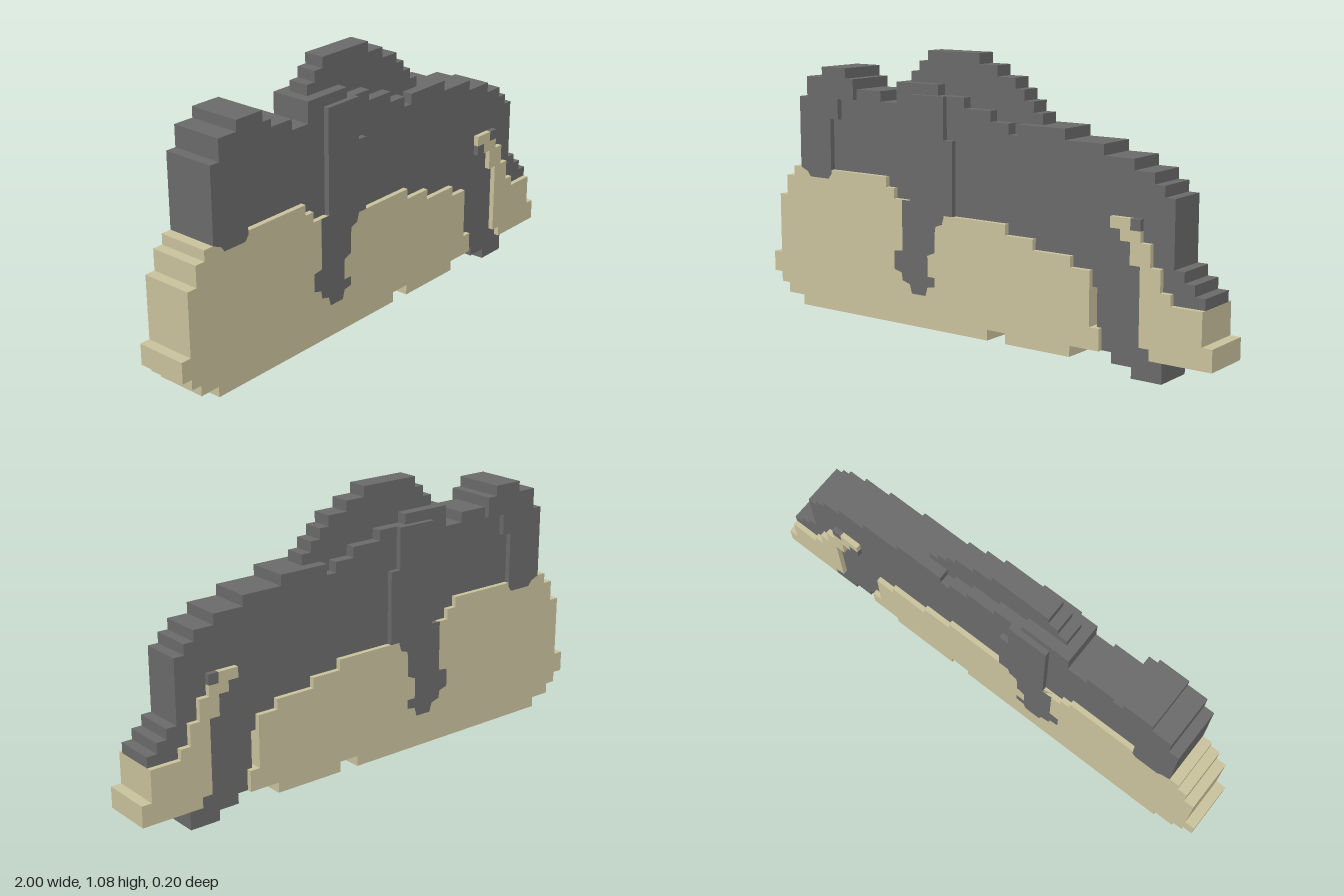
import * as THREE from 'three';

// Extrudes a flat [x, y] outline symmetrically about z = 0.
function slab(name, points, halfDepth, material) {
  const shape = new THREE.Shape(points.map(([x, y]) => new THREE.Vector2(x, y)));
  const geometry = new THREE.ExtrudeGeometry(shape, { depth: halfDepth * 2, bevelEnabled: false });
  geometry.translate(0, 0, -halfDepth);
  const mesh = new THREE.Mesh(geometry, material);
  mesh.name = name;
  return mesh;
}

// Turns a start x and a list of [height, endX] steps into a staircase.
function stairs(startX, steps) {
  const points = [];
  let x = startX;
  for (const [y, endX] of steps) {
    points.push([x, y], [endX, y]);
    x = endX;
  }
  return points;
}

export function createModel() {
  const tan = new THREE.MeshStandardMaterial({ color: 0xc9c19c });
  tan.name = 'sand';
  const grey = new THREE.MeshStandardMaterial({ color: 0x6a6a6a });
  grey.name = 'dark grey';
  const model = new THREE.Group();
  model.name = 'steppedModel';

  // Wide pale lower section
  model.add(slab('lowerSection', [
    ...stairs(-1, [[0.24, -0.96], [0.48, -0.92], [0.56, -0.88], [0.6, -0.4], [0.56, -0.36],
      [0.52, -0.14], [0.48, 0.16], [0.44, 0.28], [0.4, 0.44], [0.36, 0.52], [0.16, 0.56]]),
    ...stairs(0.56, [[0.08, 0.44], [0.04, 0.16], [0.08, 0.08], [0.04, -0.84],
      [0.08, -0.92], [0.12, -0.96], [0.16, -1]]),
  ], 0.1, tan));

  // Pale rear section with a stepped hook
  model.add(slab('rearSection', [
    ...stairs(0.6, [[0.56, 0.68], [0.52, 0.72], [0.48, 0.76], [0.4, 0.8], [0.32, 0.84],
      [0.28, 0.96], [0.16, 1]]),
    ...stairs(1, [[0.08, 0.76], [0.12, 0.72], [0.4, 0.68], [0.48, 0.64], [0.52, 0.6]]),
  ], 0.1, tan));

  // Small dark blocks at the top of the hook
  for (const [x, y] of [[0.6, 0.48], [0.68, 0.52]]) {
    model.add(slab('hookBlock', [[x, y], [x + 0.04, y], [x + 0.04, y + 0.04], [x, y + 0.04]], 0.1, grey));
  }

  // Main dark body with the rear support
  model.add(slab('body', [
    ...stairs(-0.68, [[0.8, -0.64], [0.88, -0.56], [0.92, -0.44], [0.88, -0.36], [0.96, -0.16],
      [0.92, -0.04], [0.88, 0.08], [0.84, 0.16], [0.8, 0.2], [0.84, 0.4], [0.8, 0.56],
      [0.76, 0.68], [0.72, 0.76], [0.68, 0.8], [0.64, 0.84], [0.4, 0.88], [0.36, 0.92], [0.32, 0.96]]),
    ...stairs(0.96, [[0.28, 0.8], [0, 0.68], [0.04, 0.6], [0.08, 0.54], [0.3, -0.68]]),
  ], 0.08, grey));

  // Narrow ridge on top
  model.add(slab('ridge', [
    ...stairs(-0.32, [[1, -0.28], [1.04, -0.24], [1.08, 0], [1.04, 0.08], [1, 0.16],
      [0.96, 0.2], [0.92, 0.24], [0.88, 0.28]]),
    [0.28, 0.8], [-0.32, 0.8],
  ], 0.04, grey));

  // Front end block
  model.add(slab('frontBlock', [
    ...stairs(-0.84, [[0.88, -0.8], [0.96, -0.72], [1, -0.6], [0.96, -0.56]]),
    ...stairs(-0.56, [[0.88, -0.64], [0.8, -0.68]]),
    [-0.68, 0.585], [-0.695, 0.565], [-0.79, 0.565], [-0.805, 0.585], [-0.84, 0.6],
  ], 0.101, grey));

  // Side strap ending in a lobed tip
  model.add(slab('strap', [
    [-0.28, 0.92], [-0.12, 0.92], [-0.12, 0.76], [-0.08, 0.76], [-0.08, 0.48],
    [-0.12, 0.48], [-0.13, 0.445], [-0.16, 0.435], [-0.165, 0.405], [-0.165, 0.335],
    [-0.2, 0.32], [-0.2, 0.24], [-0.165, 0.24], [-0.165, 0.205], [-0.2, 0.2],
    [-0.21, 0.165], [-0.275, 0.165], [-0.285, 0.2], [-0.32, 0.21], [-0.325, 0.24],
    [-0.36, 0.25], [-0.36, 0.32], [-0.32, 0.325], [-0.32, 0.52], [-0.28, 0.52],
  ], 0.101, grey));

  return model;
}
